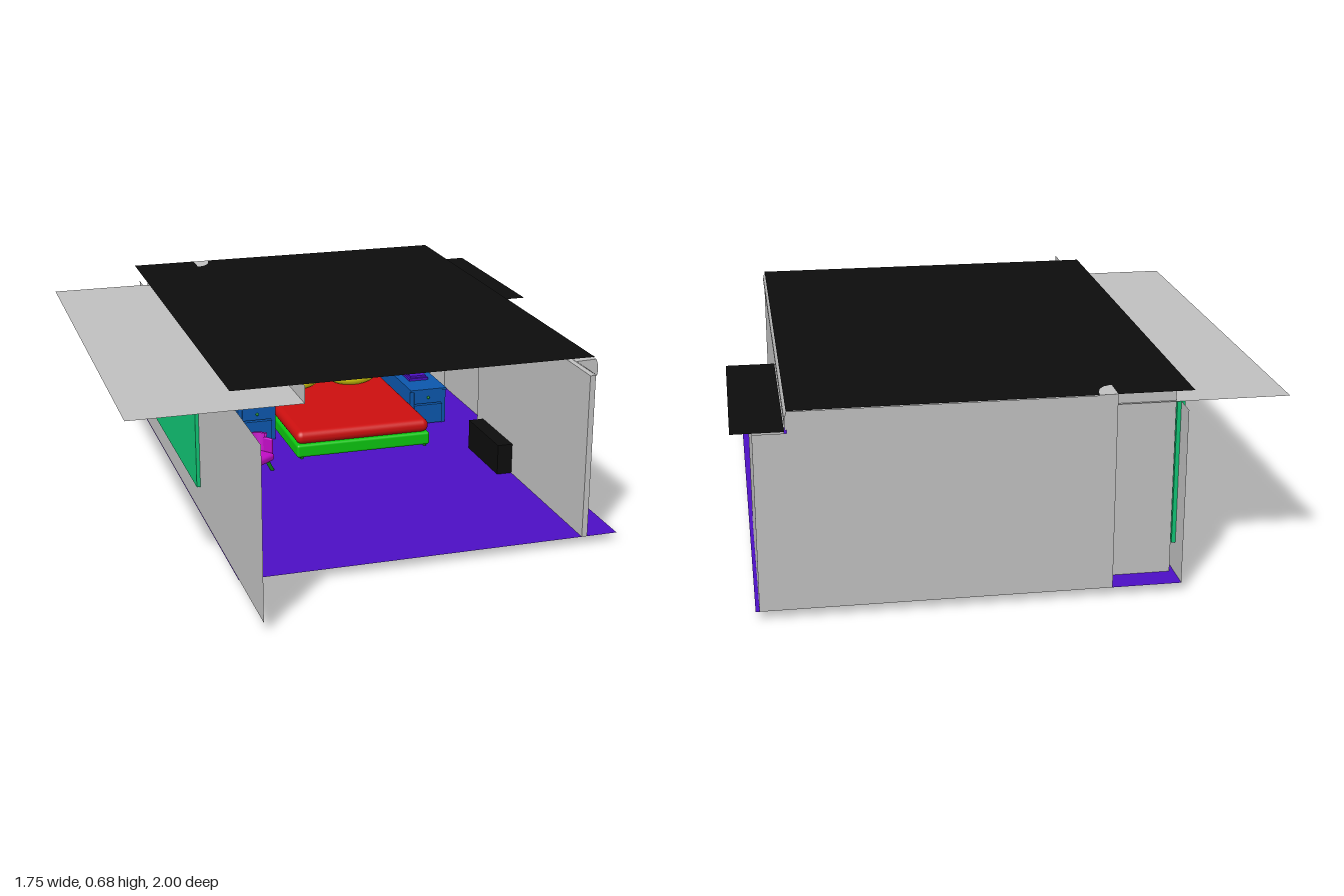
import * as THREE from 'three';
import { RoundedBoxGeometry } from 'three/addons/geometries/RoundedBoxGeometry.js';

const mat = (name, color) => {
  const m = new THREE.MeshStandardMaterial({ color, side: THREE.DoubleSide });
  m.name = name;
  return m;
};

export function createModel() {
  const M = {
    grey: mat('wallGrey', 0xc0c0c0),
    black: mat('black', 0x0d0d0d),
    purple: mat('floorPurple', 0x4c0fc4),
    green: mat('bedGreen', 0x0cc40f),
    teal: mat('curtainGreen', 0x10c474),
    blue: mat('standBlue', 0x0c57ac),
    magenta: mat('chairMagenta', 0xc00cc4),
    yellow: mat('pillowYellow', 0xd8cf0c),
    red: mat('mattressRed', 0xcc0f0f),
    darkGreen: mat('legGreen', 0x0e8518),
  };
  const model = new THREE.Group();

  const add = (parent, name, geo, m, x = 0, y = 0, z = 0) => {
    const mesh = new THREE.Mesh(geo, m);
    mesh.name = name;
    mesh.position.set(x, y, z);
    parent.add(mesh);
    return mesh;
  };
  // Box, or rounded box, given by its limits on each axis
  const box = (parent, name, m, [x0, x1], [y0, y1], [z0, z1], r = 0) => {
    const s = [x1 - x0, y1 - y0, z1 - z0];
    const geo = r ? new RoundedBoxGeometry(...s, 4, r) : new THREE.BoxGeometry(...s);
    return add(parent, name, geo, m, (x0 + x1) / 2, (y0 + y1) / 2, (z0 + z1) / 2);
  };
  // Single sheets: horizontal, facing z, facing x
  const flat = (name, m, [x0, x1], y, [z0, z1]) =>
    add(model, name, new THREE.PlaneGeometry(x1 - x0, z1 - z0).rotateX(-Math.PI / 2), m,
      (x0 + x1) / 2, y, (z0 + z1) / 2);
  const wallZ = (name, [x0, x1], [y0, y1], z) =>
    add(model, name, new THREE.PlaneGeometry(x1 - x0, y1 - y0), M.grey, (x0 + x1) / 2, (y0 + y1) / 2, z);
  const wallX = (name, x, [y0, y1], [z0, z1]) =>
    add(model, name, new THREE.PlaneGeometry(z1 - z0, y1 - y0).rotateY(Math.PI / 2), M.grey,
      x, (y0 + y1) / 2, (z0 + z1) / 2);
  // Tapered leg between two points
  const leg = (parent, name, a, b, r0, r1) => {
    const p = new THREE.Vector3(...a), q = new THREE.Vector3(...b);
    const d = q.clone().sub(p);
    const mesh = add(parent, name, new THREE.CylinderGeometry(r1, r0, d.length(), 10), M.darkGreen);
    mesh.position.copy(p).addScaledVector(d, 0.5);
    mesh.quaternion.setFromUnitVectors(new THREE.Vector3(0, 1, 0), d.normalize());
  };

  // Floor and ceilings
  flat('floor', M.purple, [-0.53, 0.82], 0.03, [-1, 0.68]);
  const ceiling = new THREE.Shape();
  ceiling.moveTo(-0.545, 1).lineTo(-0.303, 1).lineTo(-0.303, 0.91);
  ceiling.quadraticCurveTo(-0.25, 0.92, -0.245, 1);
  ceiling.lineTo(0.705, 1).lineTo(0.705, -0.67).lineTo(-0.545, -0.67).closePath();
  add(model, 'mainCeiling', new THREE.ShapeGeometry(ceiling).rotateX(-Math.PI / 2), M.black, 0, 0.677, 0);
  flat('sideCeiling', M.grey, [-0.88, -0.303], 0.615, [-0.92, 0.68]);
  flat('nookCeiling', M.black, [0.712, 0.873], 0.61, [-0.995, -0.317]);

  // Walls
  wallX('leftWall', -0.528, [0.03, 0.613], [-1, 1]);
  wallZ('backLeftWall', [-0.513, -0.303], [0.03, 0.668], -0.91);
  wallZ('backWall', [-0.303, 0.705], [0.03, 0.675], -1);
  wallZ('nookBackWall', [0.705, 0.808], [0.03, 0.607], -1);
  wallX('nookSideWall', 0.808, [0.03, 0.607], [-1, -0.31]);
  wallZ('nookFrontWall', [0.69, 0.808], [0.03, 0.607], -0.31);
  box(model, 'rightWall', M.grey, [0.688, 0.708], [0.03, 0.615], [-0.31, 0.68]);
  wallX('ceilingRiser', -0.303, [0.615, 0.676], [-0.91, 0.68]);

  // Quarter-round column in the back corner
  const quarter = new THREE.Shape();
  quarter.moveTo(0, 0).lineTo(0.058, 0).absellipse(0, 0, 0.058, 0.09, 0, Math.PI / 2, false).closePath();
  const column = new THREE.ExtrudeGeometry(quarter, { depth: 0.646, bevelEnabled: false, curveSegments: 16 });
  add(model, 'cornerColumn', column.rotateX(Math.PI / 2), M.grey, -0.303, 0.677, -1);

  // Cove along the right edge of the ceiling
  const coveShape = new THREE.Shape();
  coveShape.moveTo(0.63, 0.672).lineTo(0.703, 0.674);
  coveShape.quadraticCurveTo(0.716, 0.65, 0.709, 0.615);
  coveShape.quadraticCurveTo(0.68, 0.638, 0.63, 0.672);
  add(model, 'ceilingCove',
    new THREE.ExtrudeGeometry(coveShape, { depth: 1.685, bevelEnabled: false, curveSegments: 12 }),
    M.grey, 0, 0, -1);

  // Curtain panel through the left wall, and low cabinet on the right
  box(model, 'curtainPanel', M.teal, [-0.541, -0.515], [0.133, 0.614], [-0.915, 0.1]);
  box(model, 'lowCabinet', M.black, [0.63, 0.695], [0.031, 0.147], [-0.25, 0.05]);

  // Bed
  const bed = new THREE.Group();
  bed.name = 'bed';
  model.add(bed);
  box(bed, 'headboard', M.green, [-0.06, 0.485], [0.045, 0.285], [-0.98, -0.93], 0.022);
  box(bed, 'bedFrame', M.green, [-0.06, 0.485], [0.043, 0.095], [-0.96, -0.3], 0.01);
  box(bed, 'mattress', M.red, [-0.06, 0.482], [0.094, 0.147], [-0.93, -0.3], 0.025);
  for (const x of [0.08, 0.33]) {
    const pillow = add(bed, 'pillow', new THREE.SphereGeometry(1, 28, 16), M.yellow, x, 0.19, -0.86);
    pillow.scale.set(0.117, 0.043, 0.075);
    pillow.rotation.x = 0.35;
  }
  for (const x of [-0.034, 0.474])
    for (const z of [-0.93, -0.33]) leg(bed, 'bedLeg', [x, 0.027, z], [x, 0.05, z], 0.006, 0.008);

  // Nightstands with an open shelf over a drawer
  for (const x of [-0.153, 0.572]) {
    const stand = new THREE.Group();
    stand.name = 'nightstand';
    stand.position.x = x;
    model.add(stand);
    box(stand, 'backPanel', M.blue, [-0.077, 0.077], [0.03, 0.26], [-0.98, -0.95]);
    for (const s of [-1, 1]) {
      box(stand, 'sidePanel', M.blue, [s * 0.068 - 0.009, s * 0.068 + 0.009], [0.03, 0.18], [-0.95, -0.57]);
      for (const z of [-0.92, -0.6])
        box(stand, 'foot', M.blue, [s * 0.06 - 0.01, s * 0.06 + 0.01], [0.026, 0.04], [z - 0.02, z + 0.02]);
    }
    box(stand, 'drawer', M.blue, [-0.06, 0.06], [0.035, 0.115], [-0.95, -0.56]);
    box(stand, 'drawerFront', M.blue, [-0.06, 0.06], [0.12, 0.172], [-0.95, -0.565]);
    box(stand, 'standTop', M.blue, [-0.077, 0.077], [0.172, 0.182], [-0.95, -0.56]);
    box(stand, 'book', M.purple, [-0.042, 0.04], [0.182, 0.192], [-0.8, -0.68]);
    box(stand, 'upperBook', M.purple, [-0.034, 0.034], [0.192, 0.2], [-0.79, -0.69]);
    add(stand, 'knob', new THREE.SphereGeometry(0.006, 12, 8), M.darkGreen, 0, 0.145, -0.562);
  }

  // Armchair, turned towards the room
  const chair = new THREE.Group();
  chair.name = 'armchair';
  chair.position.set(-0.27, 0, -0.228);
  chair.rotation.y = 0.66;
  model.add(chair);
  box(chair, 'seat', M.magenta, [-0.085, 0.085], [0.072, 0.102], [-0.055, 0.06], 0.012);
  for (const [top, bottom] of [[0.1, 0.088], [0.088, 0.077]]) {
    const shell = new THREE.CylinderGeometry(top, bottom, 0.085, 32, 1, true, Math.PI / 2, Math.PI);
    add(chair, 'backShell', shell, M.magenta, 0, 0.127, 0.01).scale.z = 0.75;
  }
  const rim = new THREE.RingGeometry(0.088, 0.1, 32, 1, 0, Math.PI).rotateX(-Math.PI / 2);
  add(chair, 'backRim', rim, M.magenta, 0, 0.1695, 0.01).scale.z = 0.75;
  for (const s of [-1, 1]) {
    box(chair, 'arm', M.magenta, [s * 0.088 - 0.007, s * 0.088 + 0.007], [0.09, 0.155], [0.005, 0.045], 0.005);
    for (const t of [-1, 1])
      leg(chair, 'chairLeg', [s * 0.095, 0.003, t * 0.054], [s * 0.06, 0.08, t * 0.035], 0.006, 0.009);
  }

  return model;
}
